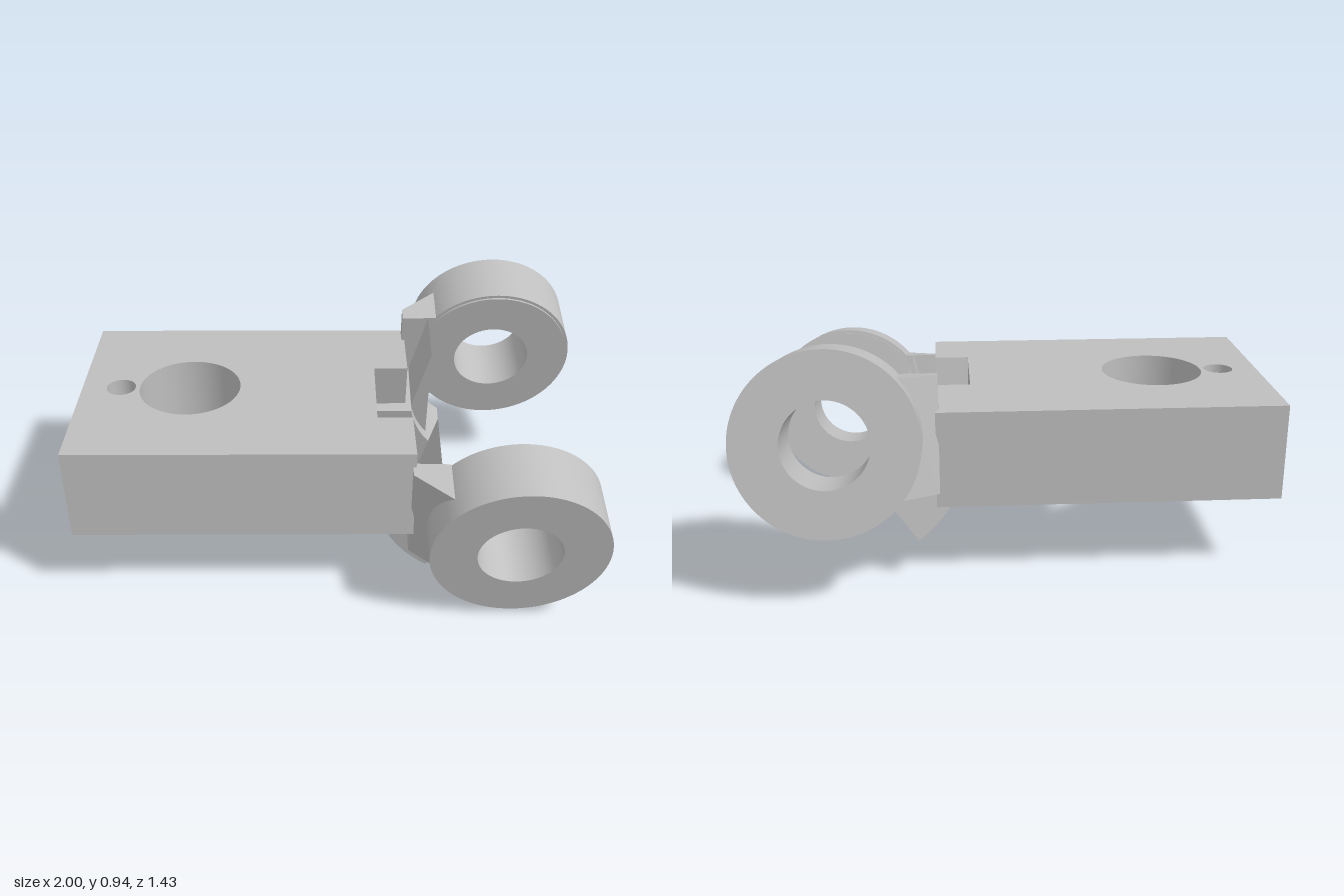
import * as THREE from 'three';
import { toCreasedNormals } from 'three/addons/utils/BufferGeometryUtils.js';

const grey = new THREE.MeshStandardMaterial({ color: 0xbebebe });
grey.name = 'machined grey';

const BOTTOM = 0.3, TOP = 0.67, PIVOT_Y = 0.487, TILT = 0.209;
const AXIS_X = 0.669, INNER = 0.357, OUTER = 0.512;

const polygon = (pts) => new THREE.Shape(pts.map(([x, y]) => new THREE.Vector2(x, y)));

const circleHole = (x, y, r) => {
  const path = new THREE.Path();
  path.absarc(x, y, r, 0, Math.PI * 2, true);
  return path;
};

const extrude = (shape, depth, options = {}) =>
  new THREE.ExtrudeGeometry(shape, { depth, bevelEnabled: false, curveSegments: 48, ...options });

function addMesh(parent, name, geometry) {
  const mesh = new THREE.Mesh(toCreasedNormals(geometry, 0.5), grey);
  mesh.name = name;
  parent.add(mesh);
  return mesh;
}

// Extrusion going up y from a plan drawn in (x, -z)
const upward = (shape, y, height) => extrude(shape, height).rotateX(-Math.PI / 2).translate(0, y, 0);
// Extrusion going along x from a section drawn in (-z, y)
const alongX = (shape, x, length) => extrude(shape, length).rotateY(Math.PI / 2).translate(x, 0, 0);

function buildBlock(group) {
  // Rear part with the large and small vertical holes
  const plan = polygon([[-1, -0.463], [-0.1, -0.463], [-0.1, 0.463], [-1, 0.463]]);
  plan.holes.push(circleHole(-0.575, 0, 0.198), circleHole(-0.847, 0, 0.057));
  addMesh(group, 'block', upward(plan, BOTTOM, TOP - BOTTOM));

  // Front part with a keyhole-like double bore
  const wall = polygon([[-0.463, BOTTOM], [0.463, BOTTOM], [0.463, TOP], [-0.463, TOP]]);
  const bore = new THREE.Path();
  bore.absarc(0, 0.487, 0.041, Math.PI - 0.45, -Math.PI + 0.45, true);
  bore.absarc(-0.07, 0.476, 0.041, -0.45, 0.45, true);
  wall.holes.push(bore);
  addMesh(group, 'boredWall', alongX(wall, -0.1, 0.257));

  // Lobes either side of the tilted slot
  const slotEdge = (s, y) => (s * 0.178 + Math.sin(TILT) * (y - PIVOT_Y)) / Math.cos(TILT);
  for (const s of [1, -1]) {
    const lobe = polygon([
      [-slotEdge(s, BOTTOM), BOTTOM], [-s * 0.463, BOTTOM],
      [-s * 0.463, TOP], [-slotEdge(s, TOP), TOP],
    ]);
    addMesh(group, s > 0 ? 'frontLobe' : 'backLobe', alongX(lobe, 0.157, 0.135));
  }
}

function buildArm(parent, s) {
  const arm = new THREE.Group();
  arm.name = s > 0 ? 'frontArm' : 'backArm';
  parent.add(arm);
  const slab = (name, shape, near, far) =>
    addMesh(arm, name, extrude(shape, far - near).translate(0, 0, s > 0 ? near : -far));

  // Pierced wheel with a slightly softened rim
  const disc = new THREE.Shape();
  disc.absarc(AXIS_X, 0, 0.319, 0, Math.PI * 2, false);
  const bevel = 0.012;
  disc.holes.push(circleHole(AXIS_X, 0, 0.157));
  const inner = extrude(disc, 0.012);
  inner.translate(0, 0, s > 0 ? 0.41 : -0.422);
  addMesh(arm, 'wheelLip', inner);
  const rim = new THREE.Shape();
  rim.absarc(AXIS_X, 0, 0.319 + bevel, 0, Math.PI * 2, false);
  rim.holes.push(circleHole(AXIS_X, 0, 0.157));
  slab('wheel', rim, 0.418, 0.662);

  // Upper bracket with a hollow inner face
  const a = Math.asin(0.218 / INNER);
  const bracket = new THREE.Shape();
  bracket.moveTo(0.28, 0.218);
  bracket.absarc(AXIS_X, 0, INNER, Math.PI - a, Math.PI + a, false);
  bracket.lineTo(0.28, -0.218);
  slab('bracket', bracket, 0.178, 0.412);

  // Wedge joining bracket and wheel
  const wedge = polygon([[0.28, -s * 0.408], [0.28, -s * 0.465], [0.42, -s * 0.58], [0.42, -s * 0.412]]);
  addMesh(arm, 'wedge', upward(wedge, -0.218, 0.436));

  // Curved finger hanging below
  const tip = Math.PI + Math.asin(0.41 / OUTER);
  const finger = new THREE.Shape();
  finger.absarc(AXIS_X, 0, OUTER, Math.PI + Math.asin(0.05 / OUTER), tip, false);
  finger.absarc(AXIS_X, 0, INNER, tip, Math.PI + Math.asin(0.05 / INNER), true);
  slab('finger', finger, 0.132, 0.388);
}

export function createModel() {
  const model = new THREE.Group();
  model.name = 'bracketWithWheels';
  buildBlock(model);

  // Tilted fork carrying both wheels
  const fork = new THREE.Group();
  fork.name = 'tiltedFork';
  fork.position.y = PIVOT_Y;
  fork.rotation.x = TILT;
  model.add(fork);
  for (const s of [1, -1]) buildArm(fork, s);
  return model;
}
